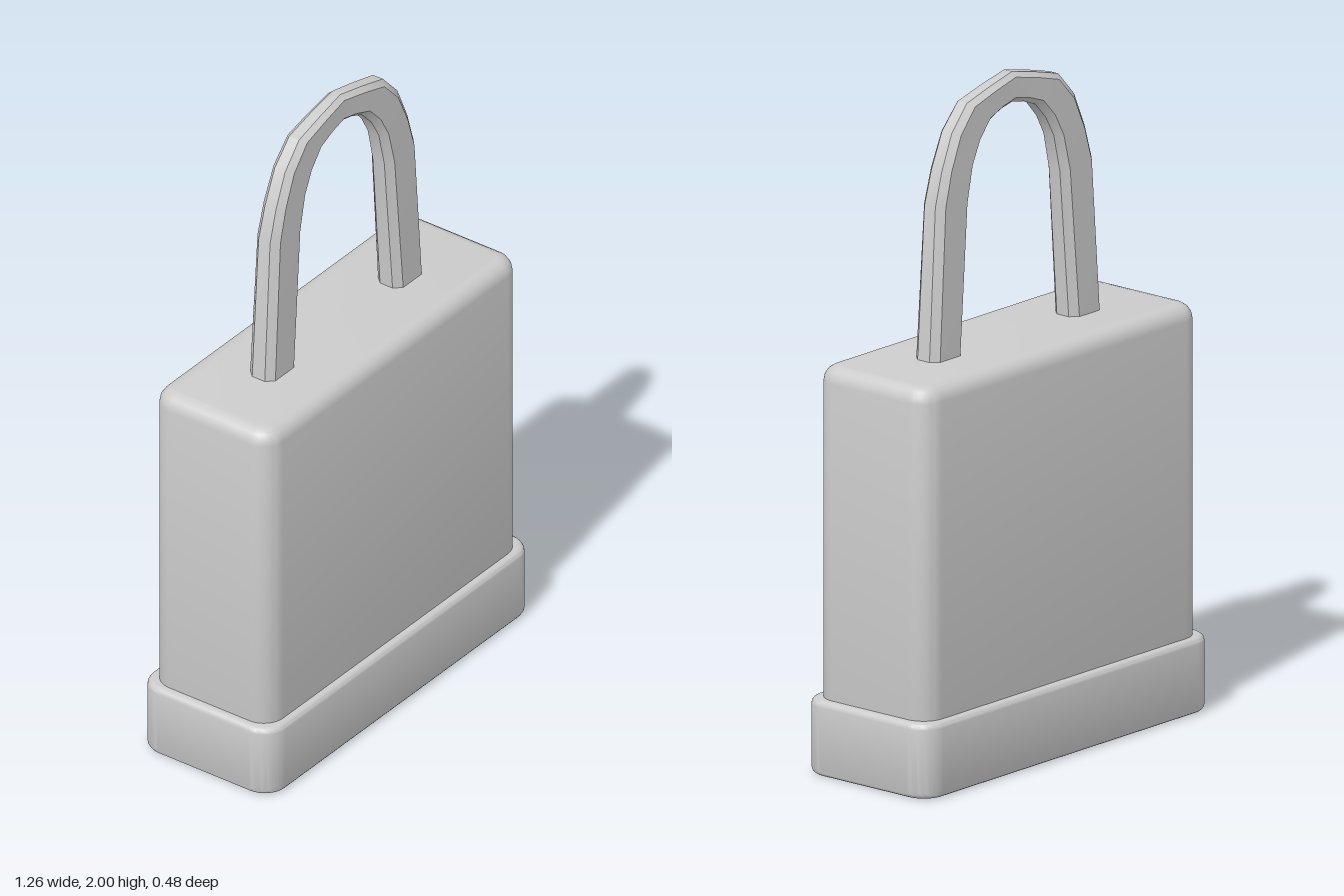
import * as THREE from 'three';
import { toCreasedNormals } from 'three/addons/utils/BufferGeometryUtils.js';

const material = new THREE.MeshStandardMaterial({ color: 0xcccccc });

// Traces a rounded rectangle centred on the origin
function roundedRect(path, w, d, r) {
  const x = w / 2 - r, y = d / 2 - r;
  path.absarc(x, y, r, 0, Math.PI / 2);
  path.absarc(-x, y, r, Math.PI / 2, Math.PI);
  path.absarc(-x, -y, r, Math.PI, Math.PI * 1.5);
  path.absarc(x, -y, r, Math.PI * 1.5, Math.PI * 2);
  path.closePath();
  return path;
}

// Upright block with rounded edges, from y0 to y1
function block(name, shape, y0, y1, bevel) {
  const geo = new THREE.ExtrudeGeometry(shape, {
    depth: y1 - y0 - 2 * bevel, curveSegments: 6, bevelEnabled: true, bevelSegments: 4,
    bevelSize: bevel, bevelThickness: bevel, bevelOffset: -bevel,
  });
  geo.rotateX(-Math.PI / 2).translate(0, y0 + bevel, 0);
  const mesh = new THREE.Mesh(toCreasedNormals(geo, 0.6), material);
  mesh.name = name;
  return mesh;
}

// Shackle: bevelled flat section swept over the arch, thinner toward the top
function shackle() {
  // Outer x, outer y, inner x, inner y, half depth
  const half = [
    [0.375, 1.14, 0.245, 1.14, 0.045],
    [0.37, 1.215, 0.24, 1.215, 0.045],
    [0.342, 1.67, 0.203, 1.66, 0.041],
    [0.313, 1.77, 0.178, 1.77, 0.039],
    [0.268, 1.875, 0.145, 1.83, 0.037],
    [0.2, 1.95, 0.1, 1.88, 0.035],
    [0.1, 1.977, 0.05, 1.9, 0.033],
    [0, 2, 0, 1.91, 0.03],
  ];
  const mirrored = half.slice(0, -1).reverse().map(([a, b, c, d, e]) => [-a, b, -c, d, e]);
  const stations = [...half, ...mirrored];
  // Section: position from inner (0) to outer (1) edge, depth fraction
  const section = [[1, 0.5], [1, -0.5], [0.84, -1], [0.16, -1], [0, -0.5], [0, 0.5], [0.16, 1], [0.84, 1]];
  const n = section.length, pos = [], index = [];
  stations.forEach(([ox, oy, ix, iy, h], i) => {
    section.forEach(([u, v], j) => {
      pos.push(ix + (ox - ix) * u, iy + (oy - iy) * u, v * h);
      if (i === stations.length - 1) return;
      const a = i * n + j, b = i * n + (j + 1) % n;
      index.push(a, b, b + n, a, b + n, a + n);
    });
  });
  const geo = new THREE.BufferGeometry();
  geo.setAttribute('position', new THREE.Float32BufferAttribute(pos, 3));
  geo.setIndex(index);
  const mesh = new THREE.Mesh(toCreasedNormals(geo, 0.5), material);
  mesh.name = 'shackle';
  return mesh;
}

export function createModel() {
  const group = new THREE.Group();
  group.name = 'padlock';

  // Base collar with a keyway slot underneath
  const collar = roundedRect(new THREE.Shape(), 1.264, 0.476, 0.075);
  collar.holes.push(roundedRect(new THREE.Path(), 0.78, 0.18, 0.089));
  group.add(block('baseCollar', collar, 0, 0.225, 0.018));

  // Main body, its underside closing the slot
  const body = roundedRect(new THREE.Shape(), 1.21, 0.426, 0.07);
  group.add(block('body', body, 0.15, 1.215, 0.045));

  group.add(shackle());
  return group;
}
